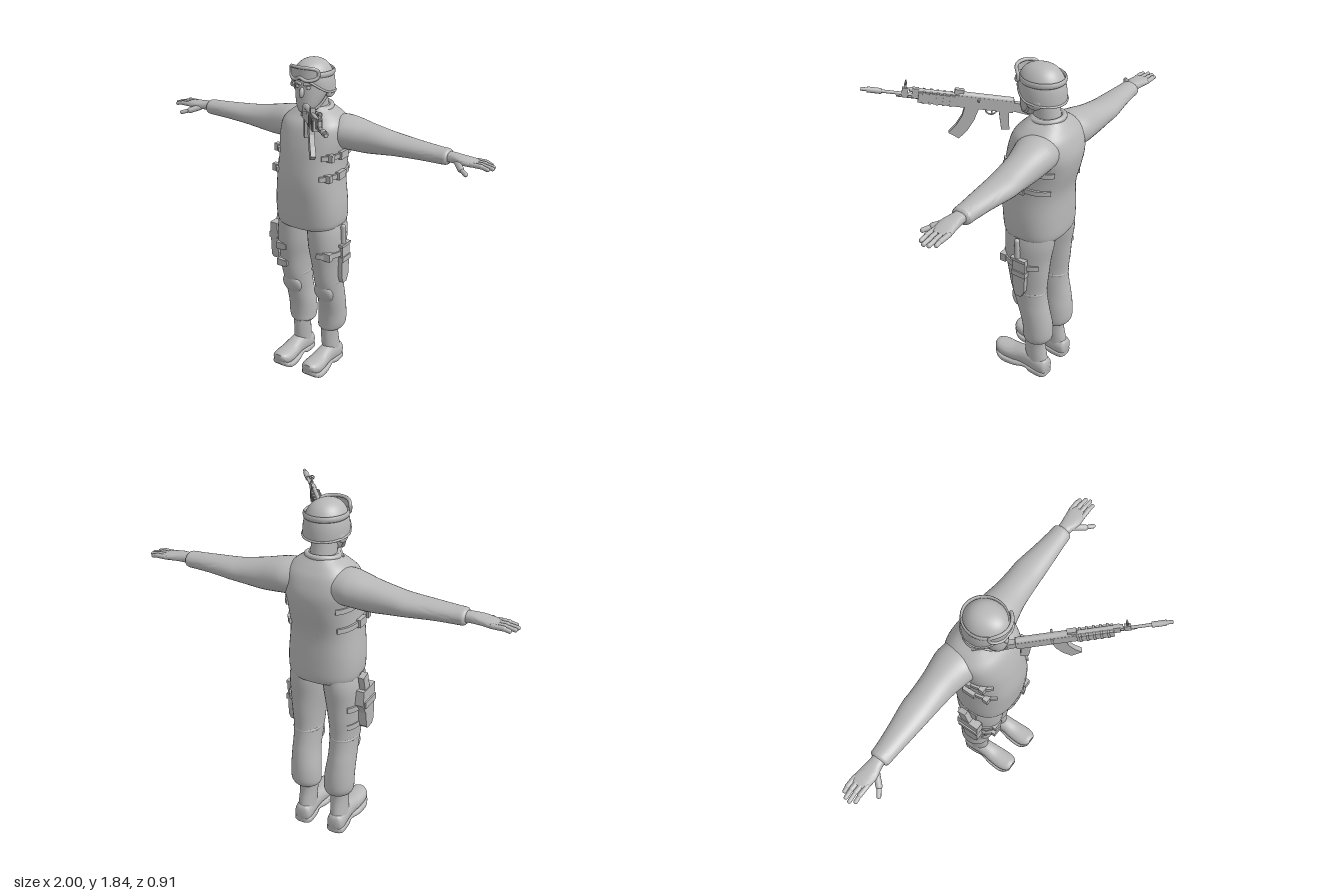
import * as THREE from 'three';
import { toCreasedNormals } from 'three/addons/utils/BufferGeometryUtils.js';

const V = (x, y, z) => new THREE.Vector3(x, y, z);

export function createModel() {
  const root = new THREE.Group();
  root.name = 'soldier';
  const grey = new THREE.MeshStandardMaterial({ color: 0xb8b8b8, side: THREE.DoubleSide });
  grey.name = 'plain grey';

  const add = (name, geo, parent = root) => {
    const m = new THREE.Mesh(geo, grey);
    m.name = name;
    parent.add(m);
    return m;
  };
  // Reflects a geometry across x = 0 and restores its corner order
  const mirror = (geo) => {
    const g = geo.index ? geo.toNonIndexed() : geo.clone();
    g.scale(-1, 1, 1);
    for (const key of Object.keys(g.attributes)) {
      const { array: a, itemSize: n } = g.attributes[key];
      for (let t = 0; t < a.length; t += 3 * n)
        for (let k = 0; k < n; k++) [a[t + n + k], a[t + 2 * n + k]] = [a[t + 2 * n + k], a[t + n + k]];
    }
    return g;
  };
  const pair = (name, geo) => {
    add('left' + name, geo);
    add('right' + name, mirror(geo));
  };

  const ring = (a, n) => [Math.cos(a), Math.sin(a)].map((c) => Math.sign(c) * Math.abs(c) ** (2 / n));
  const AXES = {
    y: (t, u, v) => [u, t, v],
    x: (t, u, v) => [t, v, u],
    z: (t, u, v) => [v, u, t],
  };
  // Smooth body through sections [t, centreU, centreV, radiusU, radiusV] along an axis
  const loft = (sections, axis = 'y', n = 2, seg = 32, sub = 4) => {
    const rows = [];
    const at = (i) => sections[Math.max(0, Math.min(sections.length - 1, i))];
    for (let i = 0; i < sections.length - 1; i++)
      for (let k = 0; k < sub; k++) {
        const f = k / sub;
        rows.push(at(i).map((p1, c) => {
          const p0 = at(i - 1)[c], p2 = at(i + 1)[c], p3 = at(i + 2)[c];
          return p1 + 0.5 * f * (p2 - p0 + f * (2 * p0 - 5 * p1 + 4 * p2 - p3 + f * (3 * (p1 - p2) + p3 - p0)));
        }));
      }
    rows.push(at(sections.length));
    const end = (r) => [r[0], r[1], r[2], 0, 0];
    rows.unshift(end(rows[0]));
    rows.push(end(rows[rows.length - 1]));
    const pos = [], idx = [];
    rows.forEach(([t, cu, cv, ru, rv], i) => {
      for (let j = 0; j < seg; j++) {
        const [c, s] = ring((j / seg) * Math.PI * 2, n);
        pos.push(...AXES[axis](t, cu + ru * c, cv + rv * s));
        if (i === rows.length - 1) continue;
        const a = i * seg + j, b = i * seg + ((j + 1) % seg);
        idx.push(a, a + seg, b + seg, a, b + seg, b);
      }
    });
    const g = new THREE.BufferGeometry();
    g.setAttribute('position', new THREE.Float32BufferAttribute(pos, 3));
    g.setIndex(idx);
    return toCreasedNormals(g, 0.9);
  };
  // Flat strap curved around a body, from angle a0 to a1 (0 = +x, PI/2 = +z)
  const band = (y, h, cx, cz, rx, rz, a0, a1, th = 0.01, n = 2) => {
    const out = [], inn = [];
    for (let i = 0; i <= 24; i++) {
      const [c, s] = ring(a0 + ((a1 - a0) * i) / 24, n);
      out.push(new THREE.Vector2(cx + (rx + th) * c, -cz - (rz + th) * s));
      inn.unshift(new THREE.Vector2(cx + (rx - 0.008) * c, -cz - (rz - 0.008) * s));
    }
    const g = new THREE.ExtrudeGeometry(new THREE.Shape([...out, ...inn]), { depth: h, bevelEnabled: false });
    return g.rotateX(-Math.PI / 2).translate(0, y - h / 2, 0);
  };
  const box = (x, y, z, w, h, d) => new THREE.BoxGeometry(w, h, d).translate(x, y, z);
  const rod = (a, b, r) => {
    const d = b.clone().sub(a);
    const g = new THREE.CapsuleGeometry(r, d.length(), 5, 12);
    g.applyQuaternion(new THREE.Quaternion().setFromUnitVectors(V(0, 1, 0), d.normalize()));
    const m = a.clone().add(b).multiplyScalar(0.5);
    return g.translate(m.x, m.y, m.z);
  };
  const ball = (x, y, z, rx, ry, rz, tilt = 0) =>
    new THREE.SphereGeometry(1, 24, 16).scale(rx, ry, rz).rotateX(tilt).translate(x, y, z);
  const plate = (pts, w, hole) => {
    const s = new THREE.Shape(pts.map((p) => new THREE.Vector2(...p)));
    if (hole) s.holes.push(new THREE.Path(hole.map((p) => new THREE.Vector2(...p))));
    return new THREE.ExtrudeGeometry(s, { depth: w, bevelEnabled: false }).translate(0, 0, -w / 2);
  };

  // Torso with padded vest
  add('torso', loft([[0.925, 0, -0.255, 0.165, 0.145], [0.935, 0, -0.255, 0.182, 0.158], [0.97, 0, -0.255, 0.192, 0.165],
    [1.06, 0, -0.25, 0.192, 0.17], [1.2, 0, -0.245, 0.178, 0.175], [1.33, 0, -0.268, 0.174, 0.182],
    [1.42, 0, -0.282, 0.185, 0.176], [1.5, 0, -0.285, 0.178, 0.15], [1.545, 0, -0.29, 0.14, 0.115],
    [1.575, 0, -0.29, 0.095, 0.09], [1.59, 0, -0.288, 0.075, 0.08]], 'y', 2.5, 48));
  add('collar', new THREE.TorusGeometry(0.08, 0.014, 10, 36).rotateX(Math.PI / 2 + 0.12).translate(0, 1.578, -0.285));
  for (const [y, cz, r] of [[1.35, -0.27, 0.178], [1.24, -0.252, 0.176]]) {
    pair('SideStrap', band(y, 0.026, 0, cz, r, 0.178, -0.85, 0.85, 0.01, 2.5));
    pair('SideBuckle', box(0.184, y, cz + 0.01, 0.024, 0.042, 0.07));
    pair('FrontBuckle', box(0.163, y, cz + 0.105, 0.04, 0.04, 0.03));
  }

  // Arms and hands
  pair('Arm', loft([[0.08, -0.32, 1.45, 0.1, 0.09], [0.16, -0.322, 1.455, 0.113, 0.09], [0.22, -0.327, 1.45, 0.104, 0.088],
    [0.3, -0.332, 1.44, 0.09, 0.08], [0.4, -0.335, 1.435, 0.083, 0.065], [0.47, -0.337, 1.433, 0.08, 0.056],
    [0.6, -0.332, 1.432, 0.065, 0.047], [0.7, -0.33, 1.43, 0.055, 0.043], [0.745, -0.33, 1.43, 0.052, 0.041],
    [0.757, -0.33, 1.43, 0.042, 0.034]], 'x'));
  pair('Palm', loft([[0.73, -0.33, 1.432, 0.032, 0.027], [0.78, -0.328, 1.433, 0.036, 0.025], [0.83, -0.325, 1.431, 0.046, 0.021],
    [0.88, -0.33, 1.427, 0.048, 0.018], [0.91, -0.33, 1.425, 0.044, 0.013]], 'x', 2.4, 24));
  [[-0.368, 0.965], [-0.344, 0.985], [-0.319, 0.99], [-0.294, 0.975]].forEach(([z, tip]) => {
    pair('Finger', rod(V(0.885, 1.428, z), V(0.94, 1.428, z), 0.0125));
    pair('Fingertip', rod(V(0.94, 1.428, z), V(tip, 1.42, z + 0.002), 0.0105));
  });
  pair('ThumbBase', rod(V(0.81, 1.423, -0.3), V(0.852, 1.408, -0.255), 0.0165));
  pair('Thumb', rod(V(0.852, 1.408, -0.255), V(0.89, 1.397, -0.228), 0.0115));

  // Trousers, knee pads and boots
  pair('TrouserLeg', loft([[0.24, 0.095, -0.318, 0.06, 0.062], [0.25, 0.095, -0.323, 0.073, 0.075], [0.285, 0.1, -0.33, 0.081, 0.083],
    [0.36, 0.102, -0.325, 0.08, 0.085], [0.45, 0.107, -0.305, 0.075, 0.09], [0.52, 0.107, -0.285, 0.074, 0.096],
    [0.6, 0.107, -0.268, 0.077, 0.105], [0.7, 0.106, -0.262, 0.085, 0.118], [0.8, 0.102, -0.256, 0.097, 0.13],
    [0.9, 0.096, -0.26, 0.1, 0.14], [0.99, 0.085, -0.26, 0.09, 0.14]]));
  pair('KneePad', ball(0.107, 0.51, -0.215, 0.06, 0.068, 0.03, 0.35));
  pair('KneeFold', new THREE.TorusGeometry(1, 0.1, 8, 32).rotateX(Math.PI / 2).scale(0.071, 0.1, 0.094).translate(0.107, 0.585, -0.272));
  pair('BootShaft', loft([[0.05, 0.1, -0.335, 0.048, 0.066], [0.12, 0.098, -0.322, 0.046, 0.066], [0.2, 0.095, -0.312, 0.047, 0.06],
    [0.28, 0.095, -0.315, 0.05, 0.06]]));
  pair('BootFoot', loft([[-0.403, 0.055, 0.1, 0.025, 0.025], [-0.393, 0.058, 0.1, 0.05, 0.042], [-0.36, 0.062, 0.1, 0.06, 0.049],
    [-0.3, 0.075, 0.1, 0.06, 0.049], [-0.24, 0.075, 0.1, 0.052, 0.05], [-0.18, 0.066, 0.1, 0.045, 0.056],
    [-0.12, 0.065, 0.1, 0.042, 0.058], [-0.08, 0.071, 0.1, 0.035, 0.048], [-0.062, 0.08, 0.1, 0.02, 0.028]], 'z', 2.2));
  pair('BootSole', loft([[-0.402, 0.022, 0.1, 0.016, 0.03], [-0.38, 0.02, 0.1, 0.02, 0.05], [-0.31, 0.02, 0.1, 0.02, 0.05],
    [-0.27, 0.03, 0.1, 0.014, 0.047], [-0.2, 0.022, 0.1, 0.02, 0.06], [-0.13, 0.02, 0.1, 0.02, 0.064],
    [-0.09, 0.033, 0.1, 0.018, 0.055], [-0.066, 0.052, 0.1, 0.014, 0.034]], 'z', 4));

  // Thigh straps, knife and holster
  add('leftThighStrap', band(0.78, 0.03, 0.103, -0.256, 0.094, 0.127, -0.9, 1.5));
  add('leftStrapPouch', box(0.165, 0.78, -0.152, 0.05, 0.045, 0.035));
  for (const y of [0.78, 0.67]) {
    const r = y > 0.7 ? 0 : 0.011;
    add('rightThighStrap', mirror(band(y, 0.03, 0.104, -0.258, 0.094 - r, 0.127 - r, -0.9, 1.7)));
    add('rightStrapBuckle', box(-0.13, y, -0.133 - r, 0.05, 0.04, 0.025));
  }
  add('knifeSheath', plate([[0.23, 0.82], [0.31, 0.82], [0.305, 0.63], [0.285, 0.59], [0.25, 0.59], [0.235, 0.63]], 0.026)
    .rotateY(Math.PI / 2).translate(0.2, 0, 0));
  add('knifeGuard', box(0.205, 0.825, -0.265, 0.028, 0.016, 0.09));
  add('knifeHandle', rod(V(0.203, 0.83, -0.255), V(0.203, 0.935, -0.25), 0.014));
  add('sheathLoop', box(0.203, 0.74, -0.27, 0.034, 0.03, 0.085));
  add('holster', plate([[0.18, 0.88], [0.31, 0.88], [0.32, 0.8], [0.285, 0.74], [0.28, 0.66], [0.265, 0.645], [0.215, 0.645], [0.195, 0.67]], 0.046)
    .rotateY(Math.PI / 2).translate(-0.212, 0, 0));
  add('pistolGrip', box(0, 0, 0, 0.032, 0.11, 0.05).rotateX(-0.25).translate(-0.215, 0.91, -0.27));
  add('holsterFlap', box(-0.215, 0.8, -0.245, 0.058, 0.035, 0.12));
  add('holsterHanger', box(-0.188, 0.91, -0.24, 0.016, 0.1, 0.05));

  // Neck, masked head and face
  add('neck', loft([[1.52, 0, -0.285, 0.07, 0.08], [1.58, 0, -0.28, 0.064, 0.074], [1.67, 0, -0.265, 0.062, 0.07]]));
  add('head', loft([[1.568, 0, -0.18, 0.02, 0.02], [1.578, 0, -0.185, 0.04, 0.042], [1.615, 0, -0.208, 0.06, 0.074],
    [1.67, 0, -0.235, 0.077, 0.1], [1.73, 0, -0.245, 0.084, 0.103], [1.79, 0, -0.25, 0.08, 0.095]], 'y', 2.2));
  add('nose', ball(0, 1.684, -0.138, 0.014, 0.028, 0.018, -0.3));
  add('mouthMask', ball(0, 1.635, -0.155, 0.036, 0.028, 0.022));
  pair('Eye', ball(0.031, 1.709, -0.148, 0.013, 0.008, 0.01));
  pair('Brow', rod(V(0.013, 1.727, -0.14), V(0.05, 1.73, -0.158), 0.008));
  pair('ChinStrap', new THREE.TubeGeometry(new THREE.CatmullRomCurve3(
    [V(0.1, 1.7, -0.25), V(0.088, 1.65, -0.23), V(0.055, 1.595, -0.19), V(0, 1.58, -0.145)]), 20, 0.007, 8));

  // Helmet: a dome with its edge raised over the face
  const HZ = -0.25;
  const edge = (c) => 1.68 + 0.075 * Math.max(0, c) ** 2 - 0.012 * Math.max(0, -c);
  const dome = new THREE.SphereGeometry(1, 48, 20, 0, Math.PI * 2, 0, Math.PI / 2);
  const p = dome.attributes.position;
  for (let i = 0; i < p.count; i++) {
    const x = p.getX(i), y = Math.max(0, p.getY(i)), z = p.getZ(i);
    const h = Math.hypot(x, z) || 1, r = Math.max(0, 1 - y ** 2.4) ** (1 / 2.4);
    const e = edge(z / h);
    p.setXYZ(i, (x / h) * r * 0.113, e + (1.843 - e) * y, HZ + (z / h) * r * 0.121);
  }
  dome.computeVertexNormals();
  add('helmet', dome);
  const loop = (f, r, n = 48) => new THREE.TubeGeometry(new THREE.CatmullRomCurve3(
    Array.from({ length: n }, (_, i) => f((i / n) * Math.PI * 2)), true), 96, r, 8, true);
  add('helmetRim', loop((a) => V(0.113 * Math.sin(a), edge(Math.cos(a)), HZ + 0.121 * Math.cos(a)), 0.006));
  pair('EarGuard', ball(0.098, 1.68, -0.262, 0.014, 0.034, 0.045));

  // Goggles on the helmet brow
  const onBrow = (a, y, k = 1) => V(0.11 * k * Math.sin(a), y, HZ + 0.134 * k * Math.cos(a));
  const lensHeight = (a, s) => 1.785 + s * 0.034 + (s < 0 ? 0.016 * Math.exp(-((a / 0.2) ** 2)) : 0);
  const lens = new THREE.PlaneGeometry(1.7, 2, 32, 6);
  const q = lens.attributes.position;
  for (let i = 0; i < q.count; i++) {
    const a = q.getX(i), k = Math.sqrt(Math.max(0, 1 - Math.abs(a / 0.88) ** 4));
    const v = onBrow(a, lensHeight(a, q.getY(i) * k));
    q.setXYZ(i, v.x, v.y, v.z);
  }
  lens.computeVertexNormals();
  add('goggleLens', lens);
  add('goggleFrame', loop((t) => {
    const [c, s] = ring(t, 3);
    return onBrow(c * 0.87, lensHeight(c * 0.87, s));
  }, 0.009));
  add('goggleStrap', new THREE.TorusGeometry(1, 0.06, 8, 48).rotateX(Math.PI / 2).scale(0.104, 0.25, 0.111).translate(0, 1.775, HZ));

  // Rifle, built along its own x axis with the muzzle tip at the origin
  const gun = new THREE.Group();
  gun.name = 'rifle';
  const dir = V(0.6, 0.155, 0.72).normalize();
  const side = dir.clone().cross(V(0, 1, 0)).normalize();
  gun.quaternion.setFromRotationMatrix(new THREE.Matrix4().makeBasis(dir, side.clone().cross(dir), side));
  gun.position.set(0.51, 1.717, 0.45);
  root.add(gun);
  const pipe = (name, x0, x1, y, r) => add(name,
    new THREE.CylinderGeometry(r, r, x0 - x1, 16).rotateZ(-Math.PI / 2).translate((x0 + x1) / 2, y, 0), gun);
  const block = (name, x0, x1, y, h, w) => add(name, box((x0 + x1) / 2, y, 0, x0 - x1, h, w), gun);
  pipe('muzzleTip', 0, -0.03, 0, 0.009);
  pipe('muzzleBrake', -0.03, -0.1, 0, 0.014);
  pipe('barrel', -0.1, -0.3, 0, 0.008);
  pipe('gasTube', -0.23, -0.45, 0.026, 0.011);
  pipe('cleaningRod', -0.17, -0.3, -0.016, 0.004);
  block('frontSightBase', -0.195, -0.225, 0.01, 0.045, 0.018);
  block('frontSightPost', -0.203, -0.215, 0.045, 0.035, 0.008);
  add('frontSightHood', new THREE.TorusGeometry(0.011, 0.003, 8, 16).rotateY(Math.PI / 2).translate(-0.209, 0.06, 0), gun);
  block('gasBlock', -0.245, -0.275, 0.012, 0.05, 0.022);
  block('handguard', -0.275, -0.45, -0.002, 0.052, 0.044);
  for (let i = 0; i < 5; i++) block('handguardRib', -0.295 - i * 0.033, -0.307 - i * 0.033, 0, 0.06, 0.05);
  block('receiver', -0.45, -0.74, 0, 0.06, 0.036);
  pipe('dustCover', -0.47, -0.735, 0.028, 0.0175);
  block('rearSight', -0.445, -0.49, 0.045, 0.026, 0.024);
  block('chargingHandle', -0.56, -0.57, 0.02, 0.01, 0.075);
  add('magazine', plate([[-0.575, -0.02], [-0.505, -0.02], [-0.498, -0.08], [-0.475, -0.135], [-0.445, -0.18], [-0.5, -0.205],
    [-0.535, -0.155], [-0.56, -0.095]], 0.026), gun);
  add('rifleGrip', plate([[-0.72, -0.02], [-0.67, -0.02], [-0.685, -0.08], [-0.7, -0.13], [-0.74, -0.125], [-0.728, -0.07]], 0.028), gun);
  add('triggerGuard', new THREE.TorusGeometry(0.028, 0.004, 8, 20, Math.PI).rotateZ(Math.PI).translate(-0.635, -0.03, 0), gun);
  block('trigger', -0.637, -0.643, -0.04, 0.025, 0.006);
  add('stock', plate([[-0.73, 0.022], [-0.73, -0.022], [-0.94, -0.05], [-0.95, 0.018]], 0.026,
    [[-0.78, 0.002], [-0.92, 0], [-0.915, -0.028], [-0.78, -0.012]]), gun);
  return root;
}
